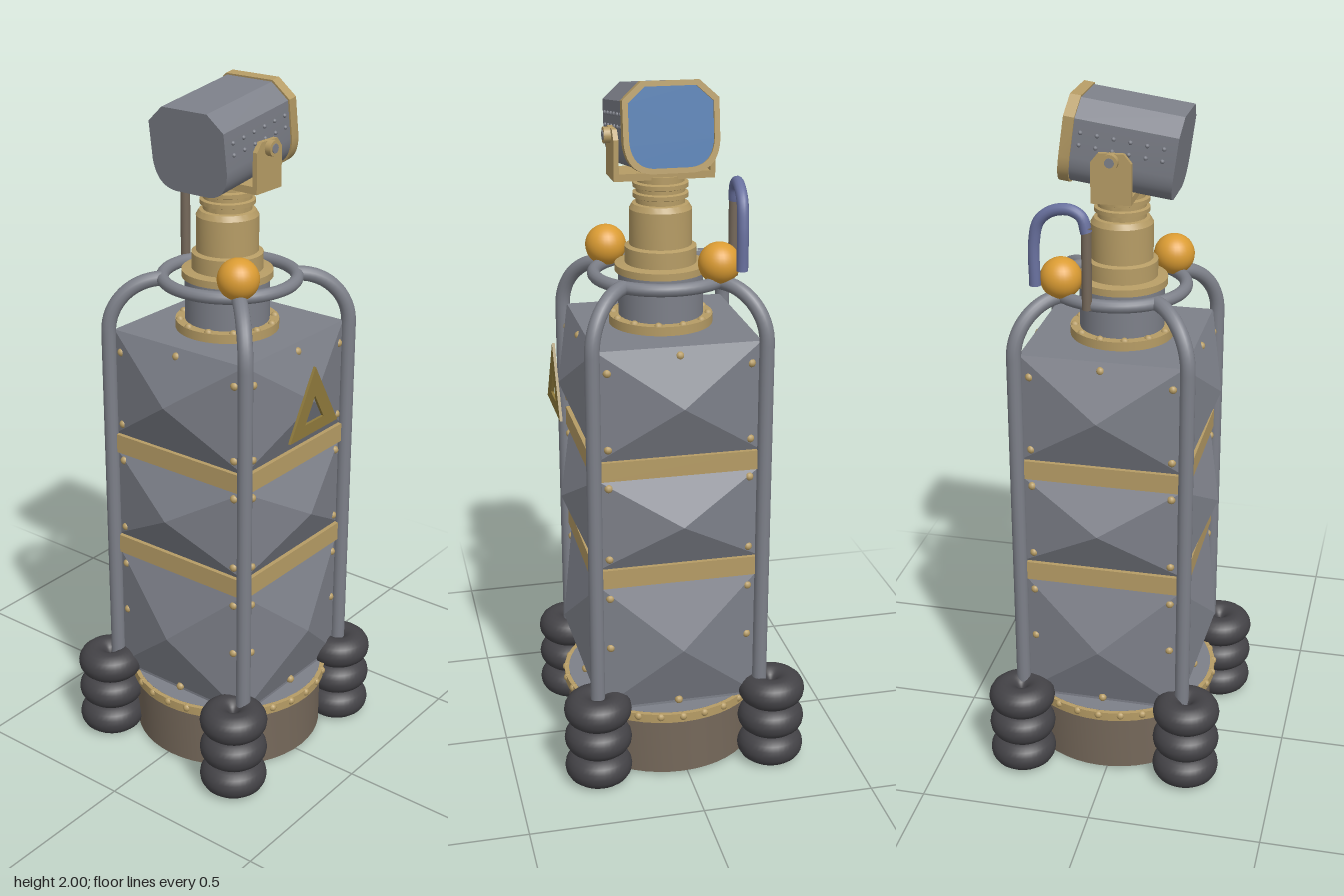
import * as THREE from 'three';
import { toCreasedNormals } from 'three/addons/utils/BufferGeometryUtils.js';

const mat = (name, color, side = THREE.FrontSide) => {
  const m = new THREE.MeshStandardMaterial({ color, side });
  m.name = name;
  return m;
};

export function createModel() {
  const steel = mat('steel grey', 0x7d8089);
  const brass = mat('brass', 0xb69c65);
  const rubber = mat('black rubber', 0x434246);
  const brown = mat('brown metal', 0x75685a, THREE.DoubleSide);
  const amber = mat('amber lamp', 0xdb9c33);
  const lensBlue = mat('lens blue', 0x4f7bb0);
  const pipeBlue = mat('pipe blue', 0x69719f);
  const olive = mat('olive sign', 0x8f7a3c);

  const model = new THREE.Group();
  const tower = new THREE.Group();
  tower.name = 'tower';
  tower.position.set(0.018, 0, -0.021);
  model.add(tower);

  const add = (parent, name, geo, material, x = 0, y = 0, z = 0) => {
    const m = new THREE.Mesh(geo, material);
    m.name = name;
    m.position.set(x, y, z);
    parent.add(m);
    return m;
  };
  const box = (w, h, d) => new THREE.BoxGeometry(w, h, d);
  const cyl = (r, h, n = 48) => new THREE.CylinderGeometry(r, r, h, n);
  const lathe = (pts) => toCreasedNormals(
    new THREE.LatheGeometry(pts.map(([r, y]) => new THREE.Vector2(r, y)), 48), 0.5);
  const extrude = (shape, depth) => toCreasedNormals(
    new THREE.ExtrudeGeometry(shape, { depth, bevelEnabled: false, curveSegments: 10 }), 0.5);
  const polygon = (pts, Type = THREE.Shape) => new Type(pts.map(([x, y]) => new THREE.Vector2(x, y)));
  const tube = (curve, r, n = 32) => new THREE.TubeGeometry(curve, n, r, 14);
  const rivet = new THREE.SphereGeometry(0.012, 10, 8);

  // Open skirt below the body
  add(tower, 'skirt', lathe([[0.262, 0.19], [0.262, 0.01], [0.283, 0.01], [0.283, 0.2]]), brown);
  add(tower, 'skirtTop', cyl(0.283, 0.025), steel, 0, 0.2);
  add(tower, 'skirtCeiling', cyl(0.262, 0.02), rubber, 0, 0.178);
  add(tower, 'skirtRim', lathe([[0.28, 0.185], [0.296, 0.185], [0.296, 0.212], [0.27, 0.212]]), brass);
  for (let i = 0; i < 28; i++) {
    const a = (i / 28) * Math.PI * 2;
    add(tower, 'rimRivet', rivet, brass, 0.291 * Math.sin(a), 0.202, 0.291 * Math.cos(a));
  }
  for (let i = 0; i < 16; i++) {
    const a = (i / 16) * Math.PI * 2;
    const blade = add(tower, 'fanBlade', box(0.016, 0.02, 0.19), brass,
      0.155 * Math.sin(a), 0.162, 0.155 * Math.cos(a));
    blade.rotation.y = a;
  }

  // Square body with bands
  add(tower, 'body', box(0.46, 1.1, 0.46), steel, 0, 0.76);
  for (const y of [0.64, 0.966]) add(tower, 'band', box(0.485, 0.056, 0.485), brass, 0, y);

  // Pyramid panels and rivets on each side
  const pyramid = (w, h, d) => {
    const g = new THREE.ConeGeometry(Math.SQRT1_2, 1, 4, 1, true).rotateY(Math.PI / 4)
      .translate(0, 0.5, 0).rotateX(Math.PI / 2).scale(w, h, d).toNonIndexed();
    g.computeVertexNormals();
    return g;
  };
  const panels = [[0.22, 0.614], [0.668, 0.938], [0.994, 1.31]];
  for (let i = 0; i < 4; i++) {
    const side = new THREE.Group();
    side.name = 'bodySide';
    side.rotation.y = (i * Math.PI) / 2;
    tower.add(side);
    for (const [lo, hi] of panels) {
      add(side, 'pyramidPanel', pyramid(0.46, hi - lo, 0.066), steel, 0, (lo + hi) / 2, 0.23);
    }
    for (const x of [-0.2, 0.2]) {
      for (const y of [0.42, 0.577, 0.7, 0.915, 1.03, 1.25]) add(side, 'panelRivet', rivet, brass, x, y, 0.235);
    }
    for (const y of [0.225, 1.286]) add(side, 'panelRivet', rivet, brass, 0, y, 0.235);
  }

  // Corner rails bending in to the guard ring
  const rail = new THREE.CurvePath();
  const corner = 0.341, bend = 0.15, k = bend * 0.5523;
  const P = (x, y) => new THREE.Vector3(x, y, 0);
  rail.add(new THREE.LineCurve3(P(corner, 0.1), P(corner, 1.305)));
  rail.add(new THREE.CubicBezierCurve3(P(corner, 1.305), P(corner, 1.305 + k),
    P(corner - bend + k, 1.455), P(corner - bend, 1.455)));
  const railGeo = tube(rail, 0.021, 90);
  for (let i = 0; i < 4; i++) {
    add(tower, 'cornerRail', railGeo, steel).rotation.y = Math.PI / 4 + (i * Math.PI) / 2;
  }
  add(tower, 'guardRing', new THREE.TorusGeometry(0.188, 0.018, 14, 56).rotateX(Math.PI / 2), steel, 0, 1.455);

  // Stacked rubber bumpers at the corners
  const tyre = new THREE.TorusGeometry(0.052, 0.046, 18, 36).rotateX(Math.PI / 2);
  for (const [x, z] of [[-0.262, -0.258], [0.26, -0.263], [-0.24, 0.237], [0.253, 0.258]]) {
    for (const y of [0.047, 0.14, 0.232]) add(model, 'bumper', tyre, rubber, x, y, z);
  }

  // Neck and column
  const neck = new THREE.Group();
  neck.name = 'neck';
  neck.position.set(0.017, 0, -0.012);
  model.add(neck);
  add(neck, 'neckFlange', cyl(0.146, 0.028), brass, 0, 1.322);
  add(neck, 'neckDrum', cyl(0.119, 0.14), steel, 0, 1.395);
  for (let i = 0; i < 12; i++) {
    const a = ((i + 0.5) / 12) * Math.PI * 2;
    add(neck, 'flangeBolt', rivet, brass, 0.134 * Math.sin(a), 1.333, 0.134 * Math.cos(a));
  }
  add(neck, 'column', lathe([
    [0, 1.46], [0.128, 1.46], [0.128, 1.48], [0.1, 1.484], [0.1, 1.53], [0.087, 1.535],
    [0.087, 1.635], [0.078, 1.65], [0.068, 1.652], [0.068, 1.665], [0.077, 1.668], [0.077, 1.68],
    [0.068, 1.683], [0.068, 1.693], [0.077, 1.696], [0.077, 1.708], [0.066, 1.711], [0.066, 1.73], [0, 1.73],
  ]), brass);

  // Yoke holding the searchlight
  add(neck, 'yokeBase', box(0.28, 0.02, 0.11), brass, 0, 1.733);
  const armShape = polygon([[-0.055, -0.115], [0.055, -0.115], [0.055, -0.005],
    [0.035, 0.02], [-0.035, 0.02], [-0.055, -0.005]]);
  const armGeo = extrude(armShape, 0.014).rotateY(Math.PI / 2);
  for (const s of [-1, 1]) {
    add(neck, 'yokeArm', armGeo, brass, s > 0 ? 0.126 : -0.14, 1.84, 0);
    add(neck, 'pivotKnob', cyl(0.022, 0.03, 20).rotateZ(Math.PI / 2), brass, s * 0.143, 1.84, 0);
    add(neck, 'pivotBolt', cyl(0.013, 0.034, 16).rotateZ(Math.PI / 2), steel, s * 0.143, 1.84, 0);
  }

  // Tilted searchlight, lens at the back
  const head = new THREE.Group();
  head.name = 'searchlight';
  head.position.set(0.017, 1.858, 0.003);
  head.rotation.x = 0.138;
  model.add(head);
  const shield = (s, Type = THREE.Shape) => {
    const p = new Type();
    p.moveTo(-0.075 * s, 0.115 * s);
    p.lineTo(-0.125 * s, 0.07 * s);
    p.lineTo(-0.125 * s, -0.035 * s);
    p.quadraticCurveTo(-0.12 * s, -0.11 * s, -0.055 * s, -0.115 * s);
    p.lineTo(0.055 * s, -0.115 * s);
    p.quadraticCurveTo(0.12 * s, -0.11 * s, 0.125 * s, -0.035 * s);
    p.lineTo(0.125 * s, 0.07 * s);
    p.lineTo(0.075 * s, 0.115 * s);
    p.closePath();
    return p;
  };
  add(head, 'lightHousing', extrude(shield(1), 0.285), steel, 0, 0, -0.13);
  const rim = shield(1.04);
  rim.holes.push(shield(0.92, THREE.Path));
  add(head, 'lensRim', extrude(rim, 0.03), brass, 0, 0, -0.155);
  add(head, 'lens', extrude(shield(0.93), 0.008), lensBlue, 0, 0, -0.148);
  const stud = new THREE.SphereGeometry(0.006, 8, 6);
  for (const s of [-1, 1]) {
    for (let i = 0; i < 6; i++) {
      for (const y of [0.035, 0.002]) add(head, 'housingStud', stud, steel, s * 0.125, y, 0.12 - i * 0.045);
    }
  }

  // Amber lamps on the guard ring
  const lamp = new THREE.SphereGeometry(0.058, 28, 20);
  add(model, 'amberLamp', lamp, amber, -0.115, 1.507, -0.153);
  add(model, 'amberLamp', lamp, amber, 0.149, 1.507, 0.11);

  // Hooked pipe on its stand
  add(model, 'pipeStand', cyl(0.014, 0.23, 16), brown, -0.177, 1.56, -0.066);
  const hook = new THREE.CatmullRomCurve3([
    [-0.177, 1.66, -0.066], [-0.176, 1.7, -0.078], [-0.173, 1.718, -0.11], [-0.168, 1.711, -0.16],
    [-0.165, 1.68, -0.198], [-0.163, 1.62, -0.213], [-0.163, 1.5, -0.213],
  ].map((p) => new THREE.Vector3(...p)));
  add(model, 'hookedPipe', tube(hook, 0.016, 40), pipeBlue);
  add(model, 'pipeEnd', cyl(0.016, 0.004, 14), pipeBlue, -0.163, 1.5, -0.213);

  // Triangular warning plate on the left side
  const sign = polygon([[-0.112, 0], [0.112, 0], [0, 0.193]]);
  sign.holes.push(polygon([[-0.043, 0.034], [0, 0.108], [0.043, 0.034]], THREE.Path));
  add(model, 'warningPlate', extrude(sign, 0.008).rotateY(Math.PI / 2), olive, 0.319, 1.07, -0.006);

  return model;
}
